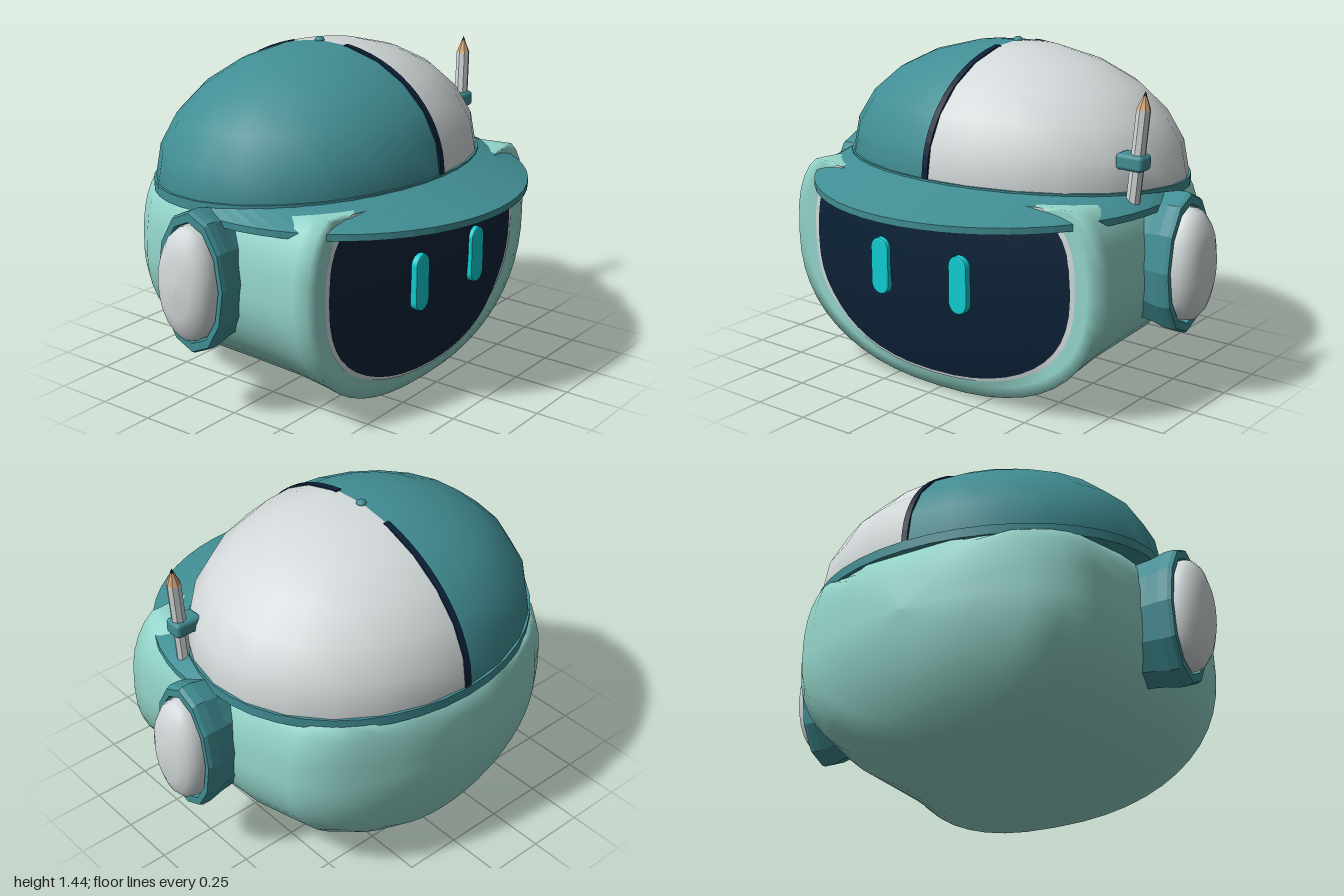
import * as THREE from 'three';
import { RoundedBoxGeometry } from 'three/addons/geometries/RoundedBoxGeometry.js';

const mat = (name, color, side = THREE.FrontSide) => {
  const m = new THREE.MeshStandardMaterial({ color, side });
  m.name = name;
  return m;
};

// Height of the tilted plane on which the cap rests
const capBase = (z) => 0.908 + 0.059 * z;
const CAP_Z = -0.135;

// Bulging front surface of the face
const faceZ = (x, y) => Math.max(0.43, 0.545 - 0.256 * x * x - 0.28 * (y - 0.6) ** 2);

const MID_Y = 0.56, SEG = 48;

// Rounded outline: half width, bottom, top, lower roundness and height limit
function outline(w, bottom, top, n, limit) {
  const pts = [];
  for (let i = 0; i < SEG; i++) {
    const a = (i / SEG) * Math.PI * 2, c = Math.cos(a), s = Math.sin(a);
    const e = s > 0 ? 2.8 : n;
    const x = w * Math.sign(c) * Math.abs(c) ** (2 / e);
    const y = s > 0
      ? MID_Y + (top - MID_Y) * s ** (2 / e)
      : MID_Y - (MID_Y - bottom) * Math.abs(s) ** (2 / e);
    pts.push([x, Math.min(y, limit)]);
  }
  return pts;
}

// Joins rings of [x, y, z] points into a smooth skin
function skin(rings, closed = true) {
  const n = rings[0].length, index = [];
  for (let i = 0; i < rings.length - 1; i++) {
    for (let j = 0; j < (closed ? n : n - 1); j++) {
      const k = (j + 1) % n;
      const a = i * n + j, b = i * n + k, c = a + n, d = b + n;
      index.push(a, c, b, b, c, d);
    }
  }
  const g = new THREE.BufferGeometry();
  g.setAttribute('position', new THREE.Float32BufferAttribute(rings.flat(2), 3));
  g.setIndex(index);
  g.computeVertexNormals();
  return g;
}

const flat = (g) => {
  const f = g.index ? g.toNonIndexed() : g;
  f.computeVertexNormals();
  return f;
};

// Moves a cap part into place and tilts it with the cap plane
function seat(g) {
  const p = g.attributes.position;
  for (let i = 0; i < p.count; i++) {
    const z = p.getZ(i) + CAP_Z;
    p.setXYZ(i, p.getX(i), p.getY(i) + capBase(z), z);
  }
  return g;
}

export function createModel() {
  const mint = mat('mint shell', 0x93d5ca);
  const teal = mat('teal', 0x418e94);
  const grey = mat('light grey', 0xd3d9da);
  const navy = mat('navy', 0x0c2238);
  const cyan = mat('cyan glow', 0x10cdd2);
  const tan = mat('bare wood', 0xd2a679);

  const model = new THREE.Group();
  const add = (name, geometry, material, parent = model) => {
    const m = new THREE.Mesh(geometry, material);
    m.name = name;
    parent.add(m);
    return m;
  };

  // Head shell: front lip, then sections running to the back
  const lip = [[0.68, 0.09, 1.0], [0.745, 0.055, 1.03]].map(([w, b, t]) =>
    outline(w, b, t, 2.4, 0.89).map(([x, y]) => [x, y, faceZ(x, y)]));
  const sections = [
    // z, half width, bottom, top, lower roundness
    [0.43, 0.8, 0.008, 1.06, 2.35],
    [0.36, 0.803, 0.006, 1.06, 2.2],
    [0.2, 0.8, 0.004, 1.06, 2.05],
    [-0.02, 0.79, 0.001, 1.06, 2],
    [-0.25, 0.772, 0, 1.06, 2],
    [-0.5, 0.712, 0.035, 1.05, 2],
    [-0.6, 0.63, 0.085, 1.03, 2],
    [-0.68, 0.52, 0.15, 1.0, 2],
    [-0.75, 0.32, 0.33, 0.86, 2],
    [-0.774, 0.18, 0.45, 0.72, 2],
    [-0.785, 0, MID_Y, MID_Y, 2],
  ].map(([z, w, b, t, n]) =>
    outline(w, b, t, n, capBase(z) - 0.03).map(([x, y]) => [x, y, z]));
  add('headShell', skin([...lip, ...sections]), mint);

  // Face screen and its pale border
  const faceRing = (scale, lift) => outline(0.672, 0.1, 0.99, 2.4, 0.89).map(([x, y]) => {
    const px = x * scale, py = MID_Y + (y - MID_Y) * scale;
    return [px, py, faceZ(px, py) + lift];
  });
  add('faceScreen', skin([0, 0.2, 0.4, 0.6, 0.75, 0.88, 1].map((s) => faceRing(s, 0.007))), navy);
  add('screenBorder', skin([faceRing(0.97, 0.004), faceRing(1.03, 0.004)]), grey);

  // Eyes
  const pill = new THREE.Shape();
  pill.absarc(0, 0.077, 0.039, 0, Math.PI);
  pill.absarc(0, -0.077, 0.039, Math.PI, Math.PI * 2);
  for (const s of [1, -1]) {
    const eye = add(s > 0 ? 'leftEye' : 'rightEye', new THREE.ExtrudeGeometry(pill, {
      depth: 0.02, bevelSize: 0.008, bevelThickness: 0.008, bevelSegments: 2, curveSegments: 8,
    }), cyan);
    eye.position.set(s * 0.207, 0.54, 0.535);
  }

  // Two-coloured cap dome
  for (const [name, start, m] of [['capRightHalf', -Math.PI / 2, teal], ['capLeftHalf', Math.PI / 2, grey]]) {
    const g = new THREE.SphereGeometry(1, 12, 6, start, Math.PI, 0, Math.PI / 2);
    add(name, seat(g.scale(0.78, 0.52, 0.64)), m);
  }

  // Centre stripe, front and back
  for (const [name, from] of [['frontStripe', 0], ['backStripe', 103]]) {
    const arc = (r) => Array.from({ length: 15 }, (_, i) => {
      const a = THREE.MathUtils.degToRad(from + (77 * i) / 14);
      return new THREE.Vector2(-0.64 * r * Math.cos(a), 0.52 * r * Math.sin(a));
    });
    const shape = new THREE.Shape([...arc(1.006), ...arc(0.97).reverse()]);
    const g = new THREE.ExtrudeGeometry(shape, { depth: 0.028, bevelEnabled: false });
    g.translate(0, 0, -0.014).rotateY(Math.PI / 2);
    add(name, seat(g), navy);
  }

  // Cap rim and top button
  const rim = new THREE.CylinderGeometry(1, 1, 0.042, 40);
  add('capRim', seat(rim.scale(0.787, 1, 0.647).translate(0, -0.019, 0)), teal);
  const button = add('capButton', new THREE.SphereGeometry(0.022, 10, 6), teal);
  button.position.set(0, 1.42, -0.13);
  button.scale.y = 0.7;

  // Crescent brim, closed cross-section swept round the front
  const brimRings = [];
  for (let i = 0; i <= 28; i++) {
    const a = (i / 28) * Math.PI, c = Math.cos(a), s = Math.sin(a);
    const ix = 0.77 * c, iz = CAP_Z + 0.63 * s, ox = 0.81 * c, oz = 0.785 * s;
    const top = capBase(iz), end = top - 0.3 * Math.hypot(ox - ix, oz - iz);
    brimRings.push([[ix, top, iz], [ox, end, oz], [ox, end - 0.028, oz], [ix, top - 0.04, iz]]);
  }
  add('capBrim', flat(skin(brimRings)), teal);

  // Ear pods
  const pod = (points, segments) => new THREE.LatheGeometry(
    points.map(([r, x]) => new THREE.Vector2(r, x)), segments).rotateZ(-Math.PI / 2).scale(1, 0.302, 0.175);
  const hub = flat(pod([[0.9, 0.66], [0.95, 0.79], [1, 0.85], [1, 0.89], [0.97, 0.907], [0.85, 0.907], [0.83, 0.87]], 12));
  const pad = pod([[0.8, 0.86], [0.8, 0.91], [0.77, 0.94], [0.65, 0.97], [0.42, 0.993], [0, 1]], 20);
  for (const s of [1, -1]) {
    const ear = new THREE.Group();
    ear.name = s > 0 ? 'leftEar' : 'rightEar';
    ear.position.set(0, 0.603, -0.075);
    ear.rotation.y = s > 0 ? 0 : Math.PI;
    add('earHub', hub, teal, ear);
    add('earPad', pad, grey, ear);
    model.add(ear);
  }

  // Pencil tucked into a loop on the cap's left side
  const pencil = new THREE.Group();
  pencil.name = 'pencil';
  pencil.position.set(0.745, 0.87, 0.11);
  pencil.rotation.set(-0.03, 0, -0.08);
  const piece = (name, r1, r0, y0, y1, m) => add(name,
    flat(new THREE.CylinderGeometry(r1, r0, y1 - y0, 8).translate(0, (y0 + y1) / 2, 0)), m, pencil);
  piece('pencilBody', 0.03, 0.03, 0, 0.39, grey);
  piece('pencilWood', 0.008, 0.03, 0.39, 0.445, tan);
  piece('pencilLead', 0.001, 0.008, 0.445, 0.463, navy);
  model.add(pencil);
  const loop = add('pencilLoop', new RoundedBoxGeometry(0.125, 0.068, 0.085, 2, 0.018), teal);
  loop.position.set(0.738, 1.045, 0.103);

  return model;
}
